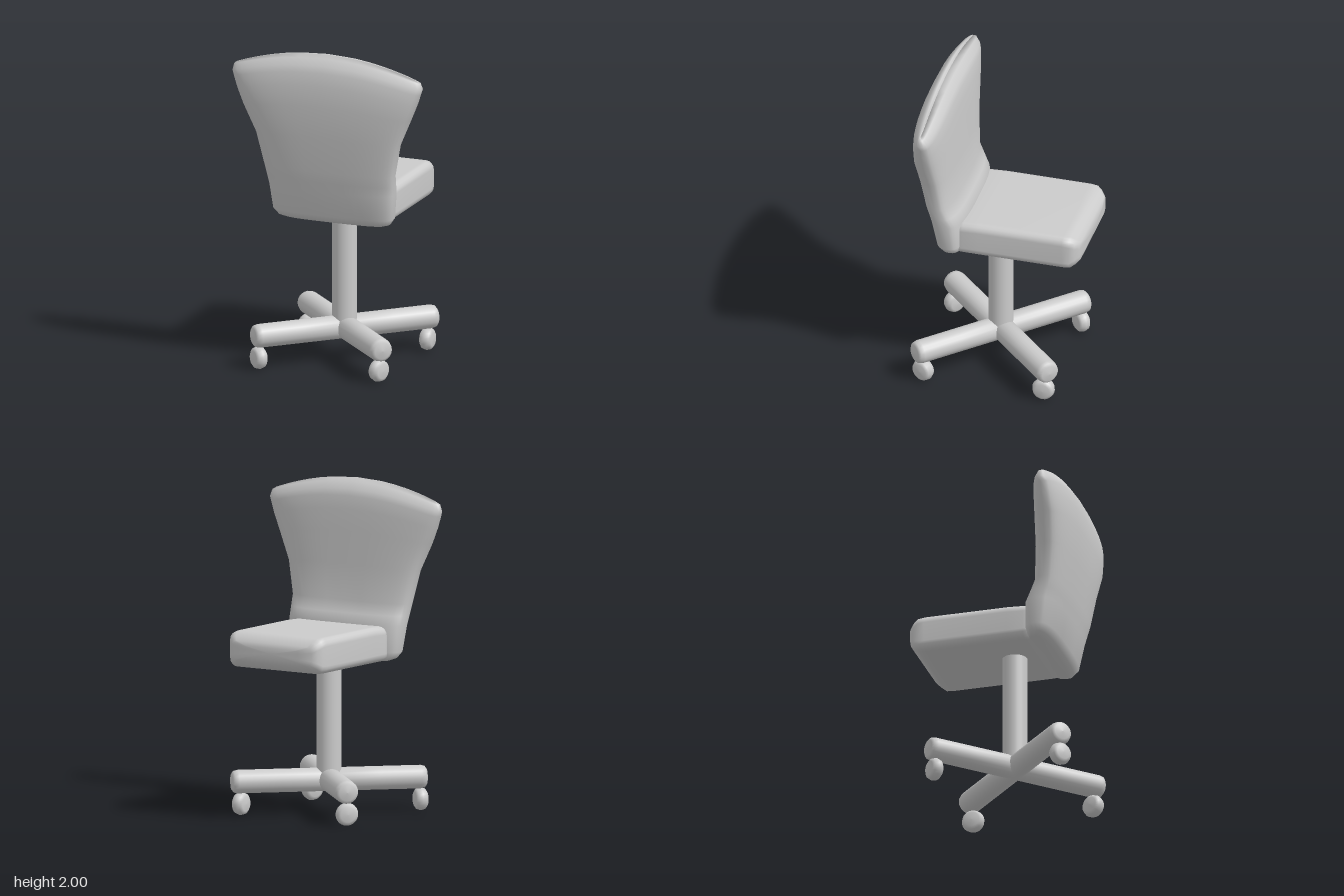
import * as THREE from 'three';

const material = new THREE.MeshStandardMaterial({ color: 0xcccccc, side: THREE.DoubleSide });

// Skin a stack of equal-length rings (counter-clockwise about the stacking direction) and cap both ends
function loft(rings) {
  const n = rings[0].length, pos = [], index = [];
  const rows = rings.length;
  rings.forEach(r => r.forEach(p => pos.push(p.x, p.y, p.z)));
  for (let i = 0; i < rows - 1; i++) {
    for (let j = 0; j < n; j++) {
      const a = i * n + j, b = i * n + (j + 1) % n;
      index.push(a, b, a + n, b, b + n, a + n);
    }
  }
  [0, rows - 1].forEach((row, end) => {
    const c = rings[row].reduce((s, p) => s.add(p), new THREE.Vector3()).divideScalar(n);
    const k = pos.length / 3;
    pos.push(c.x, c.y, c.z);
    for (let j = 0; j < n; j++) {
      const a = row * n + j, b = row * n + (j + 1) % n;
      if (end) index.push(a, b, k); else index.push(b, a, k);
    }
  });
  const g = new THREE.BufferGeometry();
  g.setAttribute('position', new THREE.Float32BufferAttribute(pos, 3));
  g.setIndex(index);
  g.computeVertexNormals();
  return g;
}

const spow = (v, e) => Math.sign(v) * Math.abs(v) ** e;

// Horizontal slice of the backrest; its sides drop to form the arched top
function backRing([y, w, front, rear, drop]) {
  const pts = [];
  for (let j = 0; j < 40; j++) {
    const t = j / 40 * Math.PI * 2;
    const x = spow(Math.sin(t), 0.65), z = spow(Math.cos(t), 0.65);
    pts.push(new THREE.Vector3(x * w, y - drop * x * x, (front + rear) / 2 + z * (rear - front) / 2));
  }
  return pts;
}

// Upright slice of the seat: a rectangle with rounded corners
function seatRing([z, w, y0, y1, r]) {
  const pts = [], cy = (y0 + y1) / 2, h = (y1 - y0) / 2;
  [[1, 1], [-1, 1], [-1, -1], [1, -1]].forEach(([sx, sy], q) => {
    for (let k = 0; k <= 4; k++) {
      const t = (q + k / 4) * Math.PI / 2;
      pts.push(new THREE.Vector3(sx * (w - r) + r * Math.cos(t), cy + sy * (h - r) + r * Math.sin(t), z));
    }
  });
  return pts;
}

const lathe = (pts, sides) => new THREE.LatheGeometry(pts.map(p => new THREE.Vector2(...p)), sides);

export function createModel() {
  const model = new THREE.Group();
  const add = (name, geometry) => {
    const m = new THREE.Mesh(geometry, material);
    m.name = name;
    model.add(m);
    return m;
  };

  // Backrest: height, half width, front z, rear z, side drop
  add('backrest', loft([
    [0.925, 0.32, 0.21, 0.32, 0], [0.94, 0.36, 0.2, 0.352, 0], [0.98, 0.388, 0.19, 0.385, 0],
    [1.14, 0.405, 0.19, 0.42, 0], [1.2, 0.412, 0.222, 0.432, 0], [1.27, 0.42, 0.258, 0.447, 0],
    [1.49, 0.463, 0.272, 0.478, 0.02], [1.69, 0.54, 0.282, 0.497, 0.05],
    [1.82, 0.582, 0.29, 0.49, 0.08], [1.9, 0.606, 0.3, 0.478, 0.09], [1.94, 0.617, 0.315, 0.46, 0.1],
    [1.98, 0.608, 0.35, 0.43, 0.1], [2, 0.585, 0.385, 0.402, 0.105],
  ].map(backRing)));

  // Seat cushion: z, half width, bottom, top, corner radius
  add('seat', loft([
    [-0.53, 0.2, 1.0, 1.07, 0.02], [-0.52, 0.29, 0.975, 1.095, 0.035], [-0.495, 0.32, 0.95, 1.12, 0.045],
    [-0.465, 0.338, 0.928, 1.14, 0.05], [-0.42, 0.34, 0.925, 1.145, 0.05],
    [0.1, 0.34, 0.925, 1.145, 0.05], [0.2, 0.34, 0.925, 1.14, 0.05], [0.3, 0.33, 0.925, 1.13, 0.05],
  ].map(seatRing)));

  // Central column
  const cx = -0.025, cz = 0.06;
  add('column', new THREE.CylinderGeometry(0.076, 0.076, 0.8, 24)).position.set(cx, 0.58, cz);

  // Four diagonal base legs with softly rounded tips
  const leg = lathe([[0, 0], [0.072, 0], [0.072, 0.3], [0.072, 0.56], [0.066, 0.585], [0.05, 0.597], [0, 0.602]], 20);
  leg.rotateX(Math.PI / 2);
  for (let i = 0; i < 4; i++) {
    const m = add('baseLeg', leg);
    m.position.set(cx, 0.205, cz);
    m.rotation.y = (i + 0.5) * Math.PI / 2;
  }

  // Swivelled caster wheels: x, z, turn
  const wheel = lathe([[0, -0.04], [0.045, -0.038], [0.062, -0.026], [0.07, 0],
    [0.062, 0.026], [0.045, 0.038], [0, 0.04]], 24);
  wheel.rotateX(Math.PI / 2);
  [[-0.42, 0.46, -0.7], [0.355, 0.44, 1.2], [0.36, -0.315, 1.6], [-0.42, -0.33, 0.8]].forEach(([x, z, turn]) => {
    const m = add('caster', wheel);
    m.position.set(x, 0.07, z);
    m.rotation.y = turn;
  });

  return model;
}
